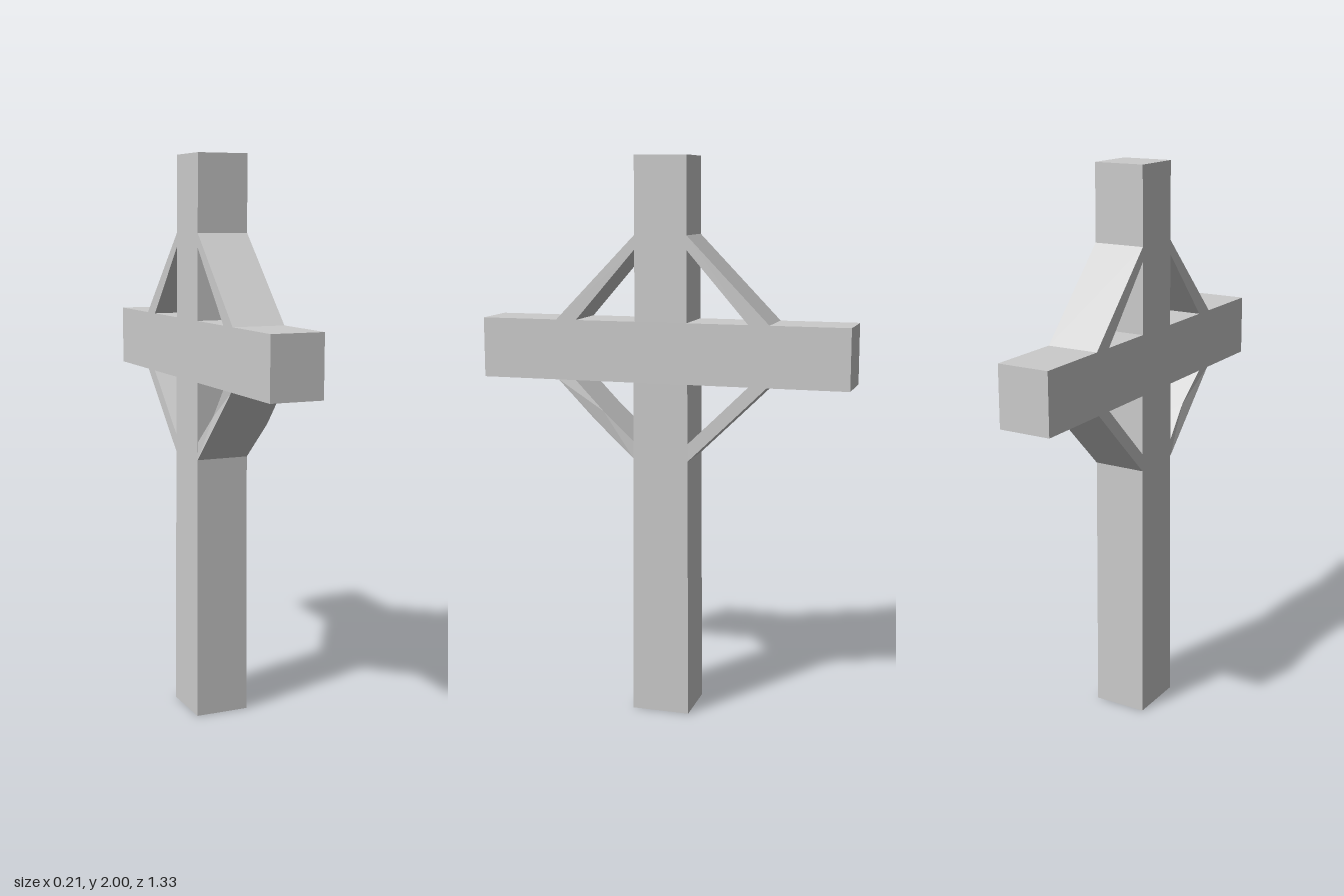
import * as THREE from 'three';

const RIGHT = 0.09;  // x of the straight broad face
const DEPTH = 0.185;

// Extrudes a [z, y] outline across x; the -x face leans outward towards the foot.
// Points accepted by bow() are pushed slightly towards +x.
function slab(name, points, material, bow) {
  const shape = new THREE.Shape(points.map(([z, y]) => new THREE.Vector2(z, y)));
  const geo = new THREE.ExtrudeGeometry(shape, { depth: DEPTH, bevelEnabled: false });
  geo.rotateY(-Math.PI / 2).translate(RIGHT, 0, 0);
  const p = geo.attributes.position;
  for (let i = 0; i < p.count; i++) {
    if (p.getX(i) < 0) p.setX(i, -0.105 + 0.005 * p.getY(i));
    if (bow && bow(p.getY(i))) p.setX(i, p.getX(i) + 0.011);
  }
  geo.computeVertexNormals();
  const mesh = new THREE.Mesh(geo, material);
  mesh.name = name;
  return mesh;
}

export function createModel() {
  const group = new THREE.Group();
  group.name = 'cross';
  const material = new THREE.MeshStandardMaterial({ color: 0xcccccc, flatShading: true });

  // Post and crossbeam in one piece, the post widening towards the foot
  const half = [[0.105, 0], [0.098, 1.215], [0.667, 1.215], [0.667, 1.43], [0.094, 1.43], [0.094, 2]];
  const mirrored = half.map(([z, y]) => [-z, y]).reverse();
  group.add(slab('postAndCrossbeam', [...half, ...mirrored], material));

  // Diagonal braces in the four corners
  for (const s of [1, -1]) {
    const side = s > 0 ? 'Front' : 'Back';
    const place = (pts) => pts.map(([z, y]) => [s * z, y]);
    group.add(slab('upper' + side + 'Brace',
      place([[0.387, 1.43], [0.094, 1.73], [0.094, 1.68], [0.313, 1.43]]), material));

    // Lower braces have a middle joint; the front one is bowed sideways there
    const lower = [[0.1, 0.942], [0.24, 1.078], [0.38, 1.215], [0.315, 1.215], [0.208, 1.11], [0.1, 1.005]];
    const bow = s > 0 ? (y) => y > 1.05 && y < 1.15 : null;
    group.add(slab('lower' + side + 'Brace', place(lower), material, bow));
  }
  return group;
}
